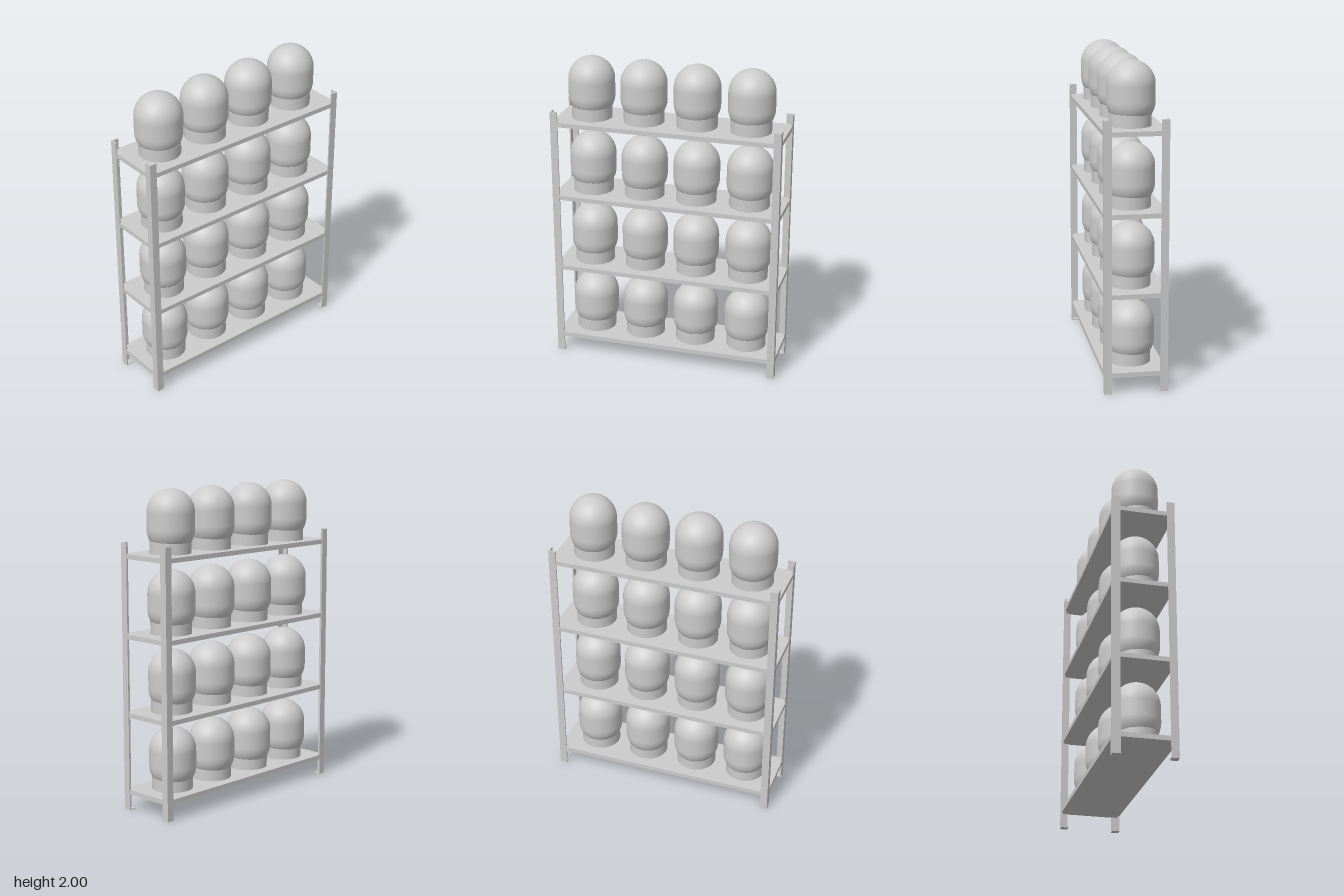
import * as THREE from 'three';

const W = 1.474, D = 0.39;            // rack footprint
const POST_H = 1.675, LEG = 0.047, T = 0.009;
const SHELF_T = 0.029;
const SHELF_TOPS = [0.132, 0.624, 1.115, 1.607];
const JAR_X = [-0.523, -0.18, 0.164, 0.509];
const JAR_R = 0.147, JAR_H = 0.393;

const material = new THREE.MeshStandardMaterial({ color: 0xcccccc });

function add(parent, name, geometry, x, y, z) {
  const mesh = new THREE.Mesh(geometry, material);
  mesh.name = name;
  mesh.position.set(x, y, z);
  parent.add(mesh);
  return mesh;
}

// Angle-iron post: outer corner at the origin, legs toward sx and sz
function postGeometry(sx, sz) {
  const outline = [[0, 0], [LEG, 0], [LEG, T], [T, T], [T, LEG], [0, LEG]];
  const shape = new THREE.Shape(outline.map(([x, z]) => new THREE.Vector2(x * sx, -z * sz)));
  const geometry = new THREE.ExtrudeGeometry(shape, { depth: POST_H, bevelEnabled: false });
  return geometry.rotateX(-Math.PI / 2);
}

// Domed jar standing on a narrower neck
function createJar() {
  const jar = new THREE.Group();
  jar.name = 'jar';
  add(jar, 'jarBody', new THREE.CapsuleGeometry(JAR_R, JAR_H - 2 * JAR_R, 16, 48), 0, JAR_H / 2, -0.003);
  add(jar, 'jarNeck', new THREE.CylinderGeometry(0.128, 0.128, 0.078, 48), 0, 0.039, 0.001);
  return jar;
}

export function createModel() {
  const model = new THREE.Group();
  model.name = 'shelfRackWithJars';

  // Corner posts with small foot plates
  for (const sx of [-1, 1]) {
    for (const sz of [-1, 1]) {
      const x = sx * W / 2, z = sz * D / 2;
      add(model, 'cornerPost', postGeometry(-sx, -sz), x, 0, z);
      add(model, 'footPlate', new THREE.BoxGeometry(LEG, 0.006, LEG),
        x - sx * LEG / 2, 0.003, z - sz * LEG / 2);
    }
  }

  // Shelves, each carrying a row of jars
  for (const top of SHELF_TOPS) {
    add(model, 'shelf', new THREE.BoxGeometry(W - 0.004, SHELF_T, D - 0.004), 0, top - SHELF_T / 2, 0);
    for (const x of JAR_X) {
      const jar = createJar();
      jar.position.set(x, top, 0);
      model.add(jar);
    }
  }
  return model;
}
